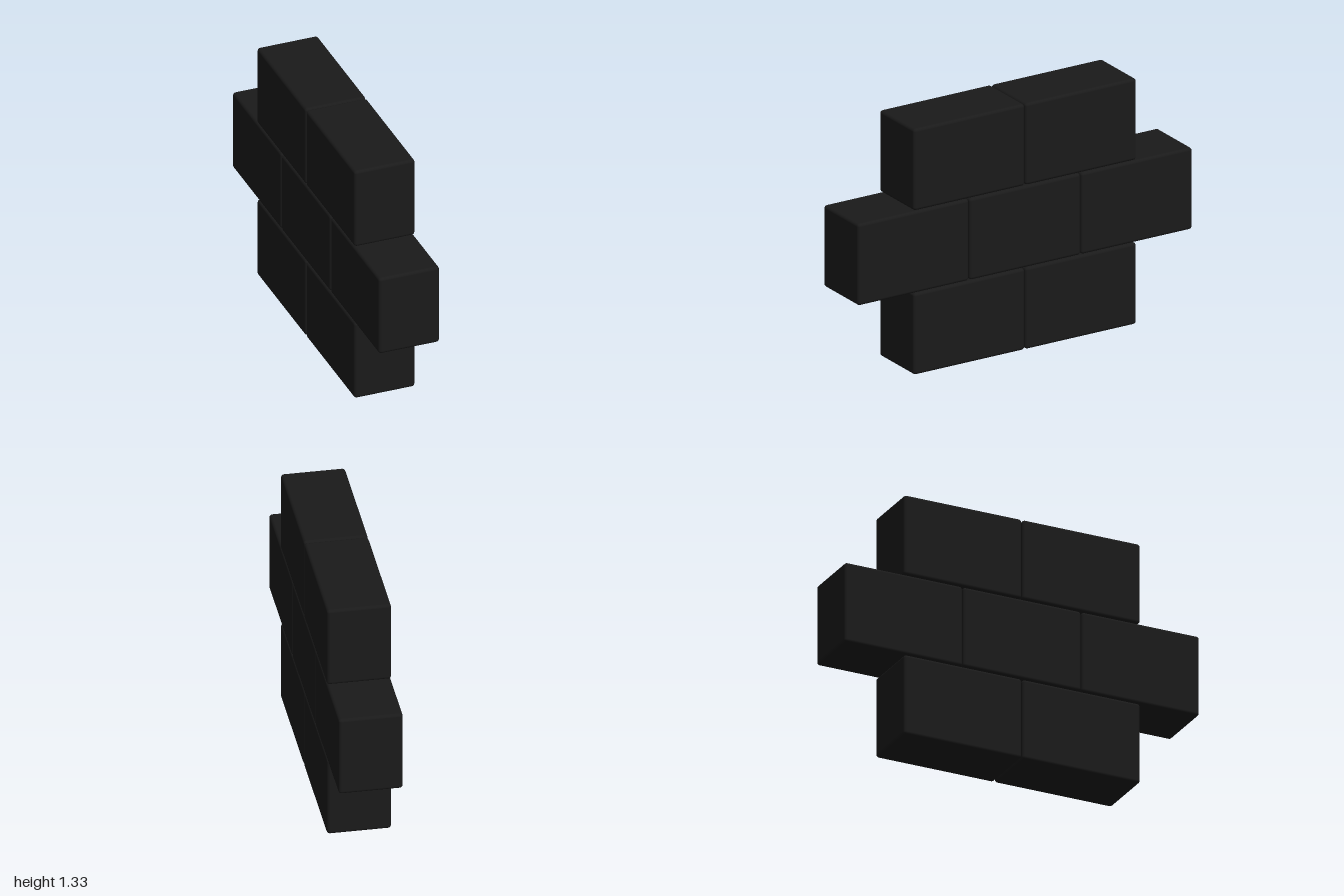
import * as THREE from 'three';
import { RoundedBoxGeometry } from 'three/addons/geometries/RoundedBoxGeometry.js';

const WIDTH = 0.33, HEIGHT = 0.442, LENGTH = 0.664;
const ROW_STEP = 0.445, BRICK_STEP = 0.668;

export function createModel() {
  const wall = new THREE.Group();
  wall.name = 'brickWall';
  const material = new THREE.MeshStandardMaterial({ color: 0x1a1a1a });
  const brickGeometry = new RoundedBoxGeometry(WIDTH, HEIGHT, LENGTH, 3, 0.016);

  // Courses from bottom to top, each centred so the joints are staggered
  const courses = [['bottom', 2], ['middle', 3], ['top', 2]];
  courses.forEach(([name, count], row) => {
    const course = new THREE.Group();
    course.name = `${name}Course`;
    course.position.y = HEIGHT / 2 + row * ROW_STEP;
    for (let i = 0; i < count; i++) {
      const brick = new THREE.Mesh(brickGeometry, material);
      brick.name = `${name}Brick${i + 1}`;
      brick.position.z = (i - (count - 1) / 2) * BRICK_STEP;
      course.add(brick);
    }
    wall.add(course);
  });
  return wall;
}
